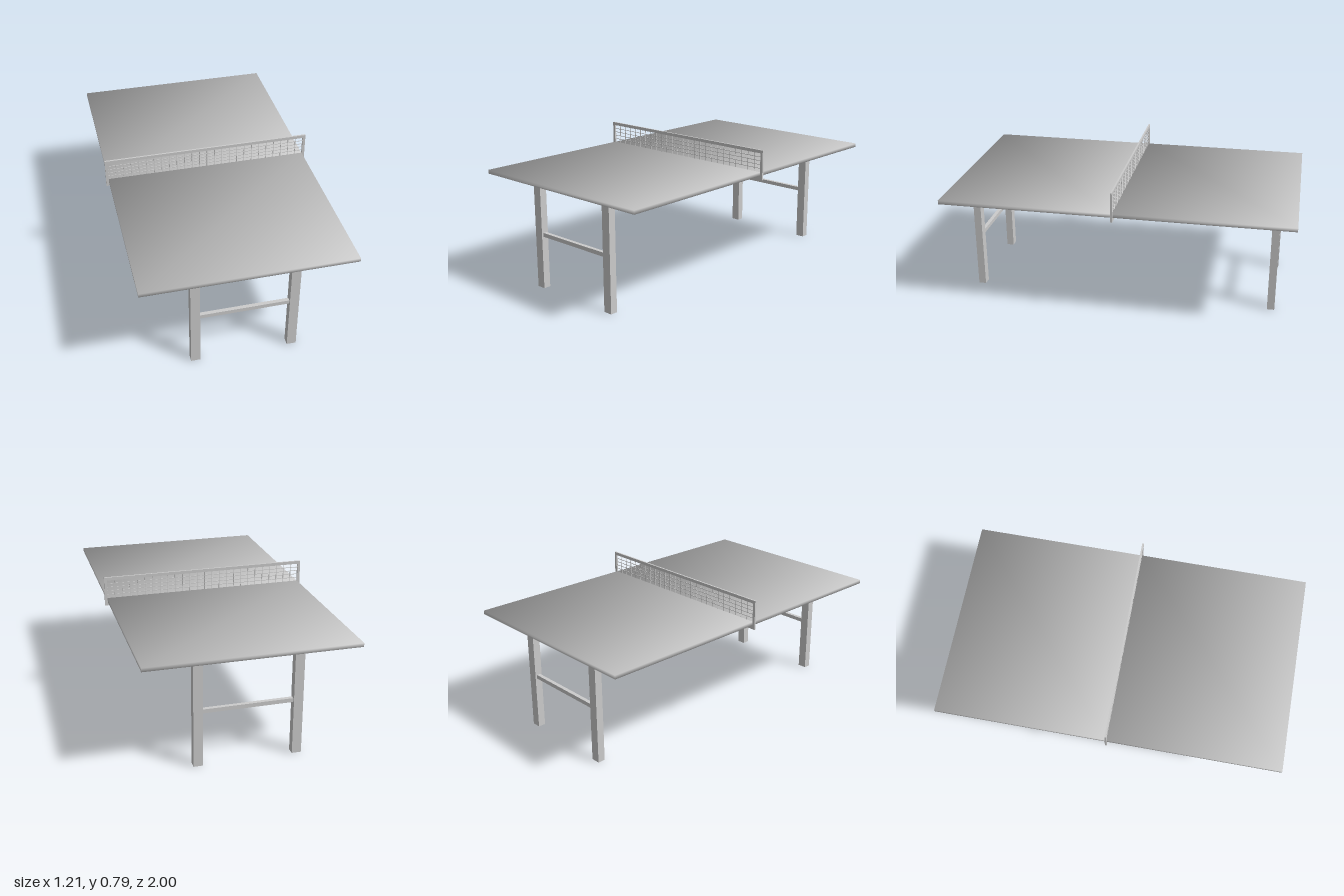
import * as THREE from 'three';

const material = new THREE.MeshStandardMaterial({ color: 0xcccccc });

function box(name, w, h, d, x, y, z) {
  const mesh = new THREE.Mesh(new THREE.BoxGeometry(w, h, d), material);
  mesh.name = name;
  mesh.position.set(x, y, z);
  return mesh;
}

// Box whose corner normals are averaged, for softly shaded panels
function softBox(...args) {
  const mesh = box(...args);
  const { position, normal } = mesh.geometry.attributes;
  const v = new THREE.Vector3();
  for (let i = 0; i < position.count; i++) {
    v.fromBufferAttribute(position, i);
    v.set(Math.sign(v.x), Math.sign(v.y), Math.sign(v.z)).normalize();
    normal.setXYZ(i, v.x, v.y, v.z);
  }
  return mesh;
}

export function createModel() {
  const model = new THREE.Group();
  model.name = 'tableTennisTable';

  const halfWidth = 0.59, topY = 0.66, underY = 0.638;

  // Two table halves, each with its own trestle at the far end
  for (const s of [1, -1]) {
    const end = s > 0 ? 'front' : 'back';
    model.add(softBox(end + 'TableHalf', halfWidth * 2, topY - underY, 1, 0, (topY + underY) / 2, s * 0.5));

    const trestle = new THREE.Group();
    trestle.name = end + 'Trestle';
    for (const side of [1, -1]) {
      trestle.add(box(side > 0 ? 'leftLeg' : 'rightLeg', 0.053, underY, 0.043, side * 0.278, underY / 2, s * 0.882));
    }
    trestle.add(box('crossbar', 0.504, 0.023, 0.022, 0, 0.32, s * 0.882));
    model.add(trestle);
  }

  // Net frame: top band, two posts and clamps hooked under the table
  const outer = 0.606, frameTop = 0.788, frameBottom = 0.616, clampEnd = 0.473, bandY = 0.77, depth = 0.01;
  const shape = new THREE.Shape([
    [-outer, frameTop], [-outer, frameBottom], [-clampEnd, frameBottom], [-clampEnd, underY],
    [-halfWidth, underY], [-halfWidth, bandY], [halfWidth, bandY], [halfWidth, underY],
    [clampEnd, underY], [clampEnd, frameBottom], [outer, frameBottom], [outer, frameTop],
  ].map(([x, y]) => new THREE.Vector2(x, y)));
  const frameGeometry = new THREE.ExtrudeGeometry(shape, { depth, bevelEnabled: false });
  frameGeometry.translate(0, 0, -depth / 2);
  const frame = new THREE.Mesh(frameGeometry, material);
  frame.name = 'netFrame';
  model.add(frame);

  // Net mesh of thin cords
  const net = new THREE.Group();
  net.name = 'net';
  const cord = 0.003, columns = 26, rows = 5, netHeight = bandY - topY;
  for (let i = 1; i < columns; i++) {
    const x = -halfWidth + (2 * halfWidth * i) / columns;
    net.add(box('verticalCord', cord, netHeight, cord, x, topY + netHeight / 2, 0));
  }
  for (let j = 1; j < rows; j++) {
    net.add(box('horizontalCord', halfWidth * 2, cord, cord, 0, topY + (netHeight * j) / rows, 0));
  }
  model.add(net);

  return model;
}
